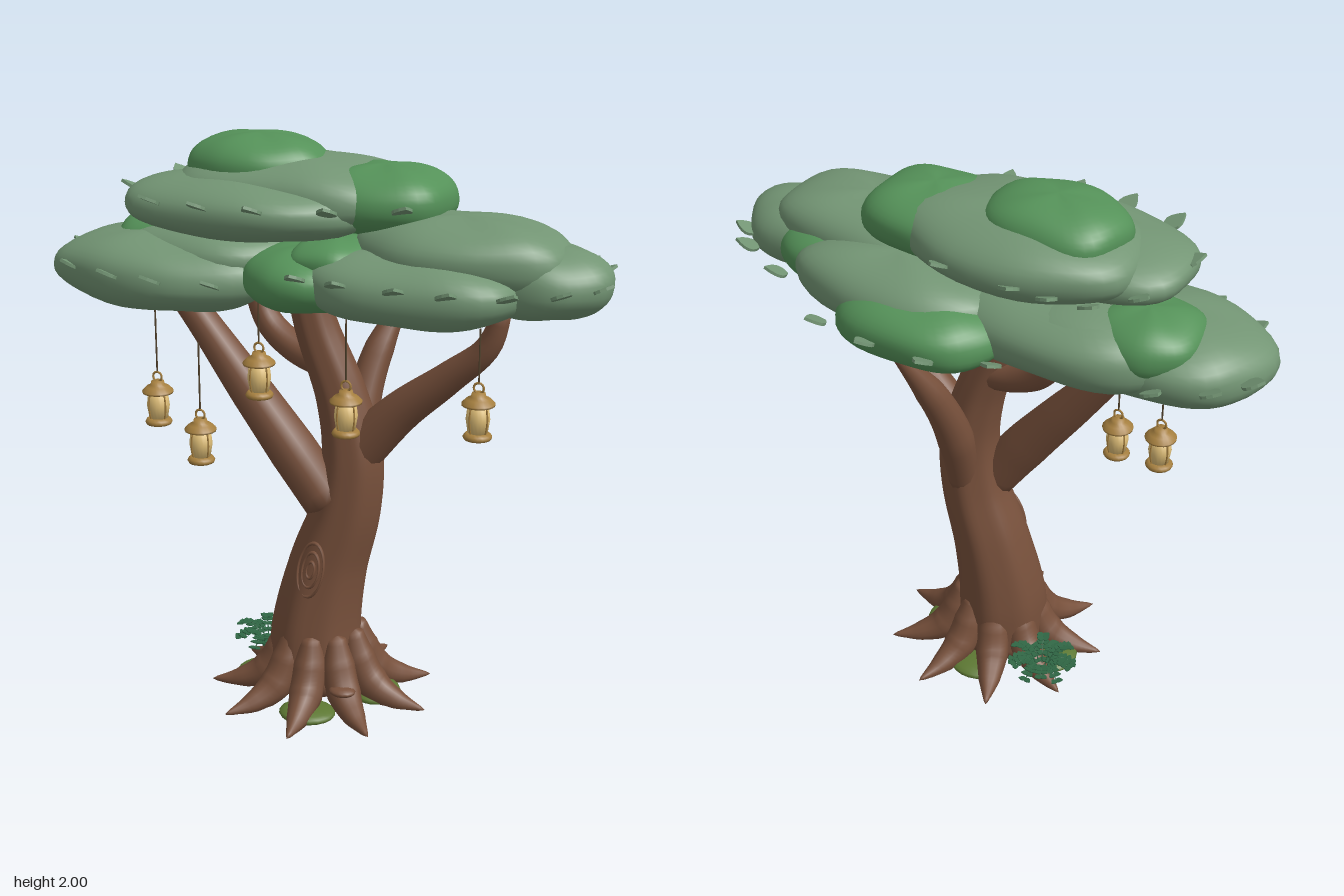
import * as THREE from 'three';
import { mergeVertices } from 'three/addons/utils/BufferGeometryUtils.js';

const mat = (name, color) => {
  const m = new THREE.MeshStandardMaterial({ color });
  m.name = name;
  return m;
};
const V = (p) => new THREE.Vector3(...p);

// Weld the seams of a bent geometry and smooth its normals
function smooth(geo) {
  geo.deleteAttribute('uv');
  geo.deleteAttribute('normal');
  const g = mergeVertices(geo, 1e-5);
  g.computeVertexNormals();
  return g;
}

// Tapered, closed limb along a curve, with optional lengthwise ridges
function limbGeometry(points, radii, { rings = 24, sides = 14, ridge = 0 } = {}) {
  const curve = new THREE.CatmullRomCurve3(points.map(V));
  const geo = new THREE.TubeGeometry(curve, rings, 1, sides);
  const pos = geo.attributes.position;
  const v = new THREE.Vector3();
  for (let i = 0; i <= rings; i++) {
    const c = curve.getPointAt(i / rings);
    const f = (i / rings) * (radii.length - 1);
    const k = Math.min(Math.floor(f), radii.length - 2);
    const r = i === 0 || i === rings ? 0 : THREE.MathUtils.lerp(radii[k], radii[k + 1], f - k);
    for (let j = 0; j <= sides; j++) {
      const n = i * (sides + 1) + j;
      const bump = 1 + ridge * Math.cos((7 * j * Math.PI * 2) / sides);
      v.fromBufferAttribute(pos, n).sub(c).multiplyScalar(r * bump).add(c);
      pos.setXYZ(n, v.x, Math.max(v.y, 0.012), v.z);
    }
  }
  return smooth(geo);
}

// Lumpy foliage cushion with blunt sides
function cushionGeometry(rx, ry, rz, seed) {
  const geo = new THREE.SphereGeometry(1, 40, 24);
  const pos = geo.attributes.position;
  const blunt = (t) => Math.sign(t) * Math.pow(Math.abs(t), 0.87);
  for (let i = 0; i < pos.count; i++) {
    const x = pos.getX(i), y = pos.getY(i), z = pos.getZ(i);
    const a = Math.atan2(z, x), flat = Math.hypot(x, z);
    const wave = 1 + flat * (0.025 * Math.sin(5 * a + seed) + 0.02 * Math.sin(3 * a + seed * 2.3 + y * 3));
    const roll = 1 + 0.07 * flat * Math.sin(4 * a + seed);
    pos.setXYZ(i, blunt(x) * rx * wave, blunt(y) * ry * roll, blunt(z) * rz * wave);
  }
  return smooth(geo);
}

// Pointed leaf lying flat, tip towards +z, one unit long
function leafGeometry() {
  const s = new THREE.Shape();
  s.moveTo(0, -0.5);
  s.quadraticCurveTo(0.8, -0.2, 0, 0.5);
  s.quadraticCurveTo(-0.8, -0.2, 0, -0.5);
  return new THREE.ExtrudeGeometry(s, { depth: 0.12, bevelEnabled: false, curveSegments: 6 })
    .translate(0, 0, -0.06).rotateX(Math.PI / 2);
}

export function createModel() {
  const bark = mat('bark', 0x77503b);
  const sage = mat('sage foliage', 0x739574);
  const green = mat('bright foliage', 0x559259);
  const moss = mat('moss', 0x5d7833);
  const fernGreen = mat('fern', 0x2f6644);
  const brass = mat('brass', 0xa57f3f);
  const glass = mat('lantern glass', 0xe0bf78);
  const cord = mat('cord', 0x55452f);

  const root = new THREE.Group();
  root.name = 'lanternTree';
  const add = (parent, name, geo, material, p = [0, 0, 0]) => {
    const m = new THREE.Mesh(geo, material);
    m.name = name;
    m.position.set(...p);
    parent.add(m);
    return m;
  };
  const group = (name) => {
    const g = new THREE.Group();
    g.name = name;
    root.add(g);
    return g;
  };

  // Trunk
  add(root, 'trunk', limbGeometry(
    [[-0.02, 0.015, 0.09], [-0.025, 0.25, 0.08], [0.015, 0.5, 0.065], [0.08, 0.72, 0.057], [0.1, 0.92, 0.053],
      [0.06, 1.12, 0.055], [-0.03, 1.36, 0.065], [-0.08, 1.56, 0.07]],
    [0.17, 0.16, 0.14, 0.122, 0.107, 0.088, 0.075, 0.065], { rings: 48, sides: 42, ridge: 0.025 }), bark);

  // Branches
  const branches = {
    rightBranch: [[[0.05, 0.72, 0.105], [-0.08, 0.9, 0.12], [-0.27, 1.14, 0.125], [-0.49, 1.41, 0.125], [-0.58, 1.5, 0.125]], [0.085, 0.085, 0.074, 0.058, 0.045]],
    leftBranch: [[[0.1, 0.91, 0.05], [0.27, 1.09, 0.055], [0.45, 1.24, 0.07], [0.59, 1.37, 0.085], [0.64, 1.52, 0.09]], [0.09, 0.075, 0.06, 0.045, 0.03]],
    backBranch: [[[0.09, 0.74, 0], [0.07, 1, -0.08], [0.09, 1.2, -0.165], [0.17, 1.46, -0.31]], [0.05, 0.065, 0.052, 0.01]],
    smallBranch: [[[0.04, 1.22, 0.05], [-0.12, 1.26, 0.03], [-0.23, 1.33, 0.01], [-0.28, 1.42, 0], [-0.3, 1.52, 0]], [0.06, 0.055, 0.05, 0.045, 0.04]],
  };
  for (const [name, [pts, radii]] of Object.entries(branches)) add(root, name, limbGeometry(pts, radii), bark);

  // Spreading roots
  const around = (a, r, y) => [Math.sin(a) * r, y, 0.09 + Math.cos(a) * r];
  const roots = group('roots');
  for (let i = 0; i < 9; i++) {
    const a = ((i * 40 + 7) * Math.PI) / 180;
    add(roots, 'root', limbGeometry(
      [around(a, 0.12, 0.28), around(a, 0.15, 0.16), around(a, 0.2, 0.08), around(a, 0.29, 0.035), around(a, 0.405, 0.02)],
      [0.03, 0.058, 0.06, 0.038, 0.003], { sides: 12 }), bark);
  }
  add(root, 'barkShelf', new THREE.SphereGeometry(1, 16, 10), bark, [0.15, 0.11, 0.255]).scale.set(0.048, 0.018, 0.04);

  // Moss cushions under and between the roots: angle, distance
  const mossPatches = group('mossPatches');
  for (const [deg, r] of [[10, 0.215], [100, 0.2], [190, 0.2], [270, 0.25]]) {
    const a = (deg * Math.PI) / 180;
    const m = add(mossPatches, 'moss', new THREE.SphereGeometry(1, 20, 10), moss, around(a, r, 0.026));
    m.scale.set(0.1, 0.026, 0.085);
    m.rotation.y = a;
  }

  // Knot rings on the trunk front
  for (const s of [1, 0.65, 0.3]) {
    const ring = add(root, 'knotRing', new THREE.TorusGeometry(0.1 * s, 0.007, 6, 28), bark, [0.005, 0.52, 0.2]);
    ring.scale.x = 0.5;
    ring.rotation.set(-0.12, -0.1, -0.15);
  }

  // Canopy cushions: centre, radii, material
  const canopy = group('canopy');
  [
    [-0.57, 1.525, 0.115, 0.4, 0.135, 0.27, sage],
    [-0.42, 1.59, 0.03, 0.33, 0.11, 0.25, sage],
    [-0.61, 1.605, 0.01, 0.185, 0.105, 0.18, green],
    [-0.32, 1.56, -0.04, 0.42, 0.13, 0.22, sage],
    [-0.02, 1.55, 0.12, 0.22, 0.11, 0.24, green],
    [0.08, 1.62, 0.13, 0.15, 0.08, 0.18, green],
    [0.35, 1.56, 0.155, 0.39, 0.12, 0.235, sage],
    [0.48, 1.66, 0.05, 0.36, 0.125, 0.235, sage],
    [0.72, 1.59, 0.02, 0.25, 0.12, 0.19, sage],
    [0.57, 1.585, -0.08, 0.18, 0.105, 0.15, green],
    [0.24, 1.59, -0.14, 0.38, 0.125, 0.22, sage],
    [0.1, 1.54, -0.22, 0.3, 0.115, 0.21, green],
    [-0.26, 1.77, 0.13, 0.43, 0.105, 0.255, sage],
    [-0.14, 1.81, 0, 0.43, 0.125, 0.28, sage],
    [0.19, 1.805, 0, 0.235, 0.115, 0.215, green],
    [-0.26, 1.885, 0.02, 0.245, 0.11, 0.19, green],
  ].forEach(([x, y, z, rx, ry, rz, m], i) => add(canopy, 'foliage', cushionGeometry(rx, ry, rz, i * 1.7), m, [x, y, z]));

  // Loose leaves around the rims, as [x, z] per height
  const leaf = leafGeometry();
  const leaves = group('leaves');
  const putLeaf = (parent, p, turn, tilt, size, material) => {
    const m = add(parent, 'leaf', leaf, material, p);
    m.rotation.set(-tilt, turn, 0, 'YXZ');
    m.scale.setScalar(size);
  };
  const rims = [
    [1.55, [[-0.97, 0.02], [-0.89, -0.1], [-0.83, 0.32], [-0.65, 0.385], [-0.48, 0.4], [-0.27, 0.38], [-0.74, -0.2], [-0.25, -0.34],
      [-0.06, -0.44], [0.16, -0.45], [0.37, -0.43]]],
    [1.6, [[0.03, 0.37], [0.18, 0.39], [0.38, 0.395], [0.55, 0.385], [0.73, 0.33], [0.87, 0.23], [0.96, 0.1], [0.9, -0.14], [0.82, -0.23], [0.62, -0.32]]],
    [1.81, [[-0.66, 0.18], [-0.49, 0.37], [-0.3, 0.4], [-0.11, 0.39], [0.12, 0.32], [0.33, 0.2], [-0.64, -0.12], [-0.54, -0.25], [-0.41, -0.28],
      [-0.28, -0.29], [-0.02, -0.29]]],
  ];
  for (const [y, spots] of rims) {
    for (const [x, z] of spots) putLeaf(leaves, [x, y, z], Math.atan2(x * 0.45, z), 0.45, 0.085, sage);
  }

  // Hanging lanterns: body centre and the height of the cord's upper end
  const roof = [[0, 0.036], [0.054, 0.036], [0.055, 0.043], [0.04, 0.058], [0.025, 0.065], [0.022, 0.078], [0, 0.08]];
  const body = [[0, -0.06], [0.032, -0.06], [0.04, -0.01], [0.034, 0.038], [0, 0.038]];
  const base = [[0, -0.078], [0.044, -0.078], [0.048, -0.07], [0.044, -0.063], [0.036, -0.055], [0, -0.055]];
  const lathe = (pts) => new THREE.LatheGeometry(pts.map((p) => new THREE.Vector2(...p)), 18);
  for (const [x, y, z, top] of [[-0.58, 1.055, 0.2, 1.43], [-0.37, 0.97, 0.28, 1.32], [-0.15, 1.23, 0.265, 1.5], [0.155, 1.13, 0.24, 1.46], [0.6, 1.17, 0.2, 1.46]]) {
    const g = new THREE.Group();
    g.name = 'lantern';
    g.position.set(x, y, z);
    root.add(g);
    add(g, 'lanternRoof', lathe(roof), brass);
    add(g, 'lanternGlass', lathe(body), glass);
    add(g, 'lanternBase', lathe(base), brass);
    add(g, 'lanternRing', new THREE.TorusGeometry(0.017, 0.004, 6, 16), brass, [0, 0.093, 0]);
    for (let i = 0; i < 4; i++) {
      const a = (i * Math.PI) / 2 + 0.4;
      const at = (r, h) => V([Math.cos(a) * r, h, Math.sin(a) * r]);
      const bow = new THREE.QuadraticBezierCurve3(at(0.032, -0.06), at(0.048, -0.012), at(0.034, 0.038));
      add(g, 'lanternPost', new THREE.TubeGeometry(bow, 6, 0.003, 6), brass);
    }
    const len = top - y - 0.108;
    add(g, 'cord', new THREE.CylinderGeometry(0.003, 0.003, len, 6), cord, [0, 0.108 + len / 2, 0]);
  }

  // Fern beside the roots
  const fern = group('fern');
  for (let i = 0; i < 12; i++) {
    const a = (i / 12) * Math.PI * 2;
    const at = (r, y) => V([-0.28 + Math.sin(a) * r, y, -0.04 + Math.cos(a) * r]);
    const curve = new THREE.QuadraticBezierCurve3(at(0.01, 0.02), at(0.04, 0.18), at(0.11, 0.105 + 0.03 * (i % 2)));
    add(fern, 'frond', new THREE.TubeGeometry(curve, 8, 0.0025, 5), fernGreen);
    for (let k = 2; k <= 8; k++) {
      const p = curve.getPoint(k / 8);
      for (const side of [-1, 1]) {
        const turn = a + side * 1.1;
        putLeaf(fern, [p.x + Math.sin(turn) * 0.012, p.y, p.z + Math.cos(turn) * 0.012], turn, 0.1, 0.028, fernGreen);
      }
    }
  }
  return root;
}
